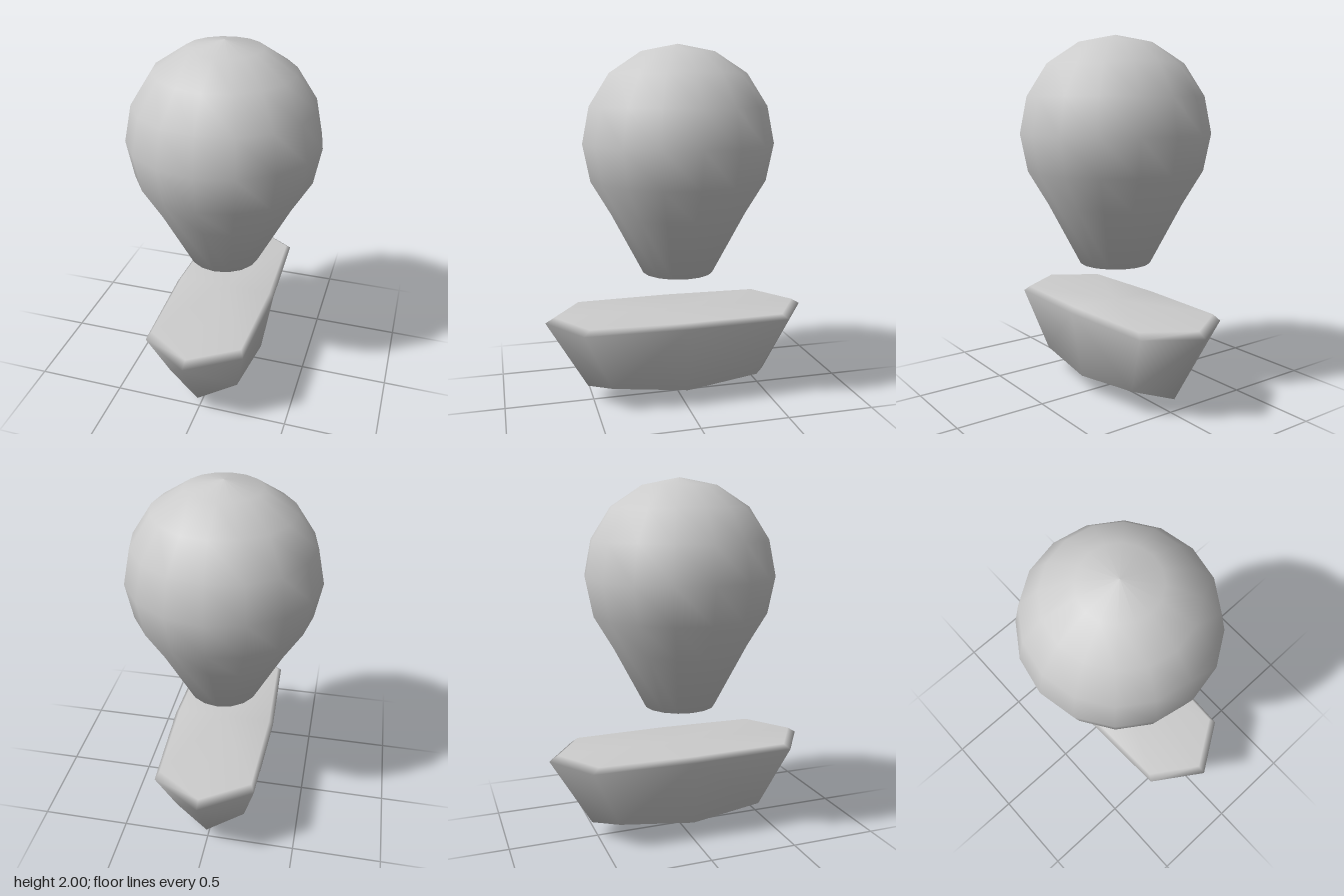
import * as THREE from 'three';

const material = new THREE.MeshStandardMaterial({ color: 0xcccccc });

// Smooth sixteen-sided balloon, profile from the bottom up
function createBalloon() {
  const profile = [
    [0, 0.72], [0.2, 0.735], [0.38, 1.08], [0.49, 1.265], [0.53, 1.47],
    [0.49, 1.67], [0.378, 1.845], [0.203, 1.96], [0, 2],
  ].map(([r, y]) => new THREE.Vector2(r, y));
  const mesh = new THREE.Mesh(new THREE.LatheGeometry(profile, 16), material);
  mesh.name = 'balloon';
  return mesh;
}

// Eight-point hull ring: pointed bow and stern, four corners, two mid points
function hullRing(tip, corner, mid) {
  const [cx, cy, cz] = corner;
  return [
    [0, tip[0], tip[1]], [cx, cy, cz], [mid[0], mid[1], 0], [cx, cy, -cz],
    [0, tip[0], -tip[1]], [-cx, cy, -cz], [-mid[0], mid[1], 0], [-cx, cy, cz],
  ];
}

// Closed gondola, pointed at both ends, with a low keel and bevelled rim
function createGondola() {
  const rings = [
    hullRing([0.085, 0.53], [0.2, 0.14, 0.42], [0.235, 0.1]),
    hullRing([0.48, 0.76], [0.275, 0.48, 0.58], [0.3, 0.48]),
    hullRing([0.51, 0.71], [0.255, 0.51, 0.545], [0.275, 0.51]),
  ];
  const n = 8;
  const points = [...rings.flat(), [0, 0, 0], [0, 0.51, 0]];
  const keel = n * rings.length;
  const deck = keel + 1;
  const last = n * (rings.length - 1);
  const index = [];
  for (let i = 0; i < n; i++) {
    const j = (i + 1) % n;
    index.push(keel, j, i, deck, last + i, last + j);
    for (let base = 0; base < last; base += n) {
      const a = base + i, b = base + j;
      // Diagonals mirror between neighbouring panels
      if (i % 2) index.push(a, b, b + n, a, b + n, a + n);
      else index.push(a, b, a + n, b, b + n, a + n);
    }
  }
  const geometry = new THREE.BufferGeometry();
  geometry.setAttribute('position', new THREE.Float32BufferAttribute(points.flat(), 3));
  geometry.setIndex(index);
  geometry.computeVertexNormals();
  const mesh = new THREE.Mesh(geometry, material);
  mesh.name = 'gondola';
  return mesh;
}

export function createModel() {
  const group = new THREE.Group();
  group.name = 'airship';
  group.add(createBalloon(), createGondola());
  return group;
}
